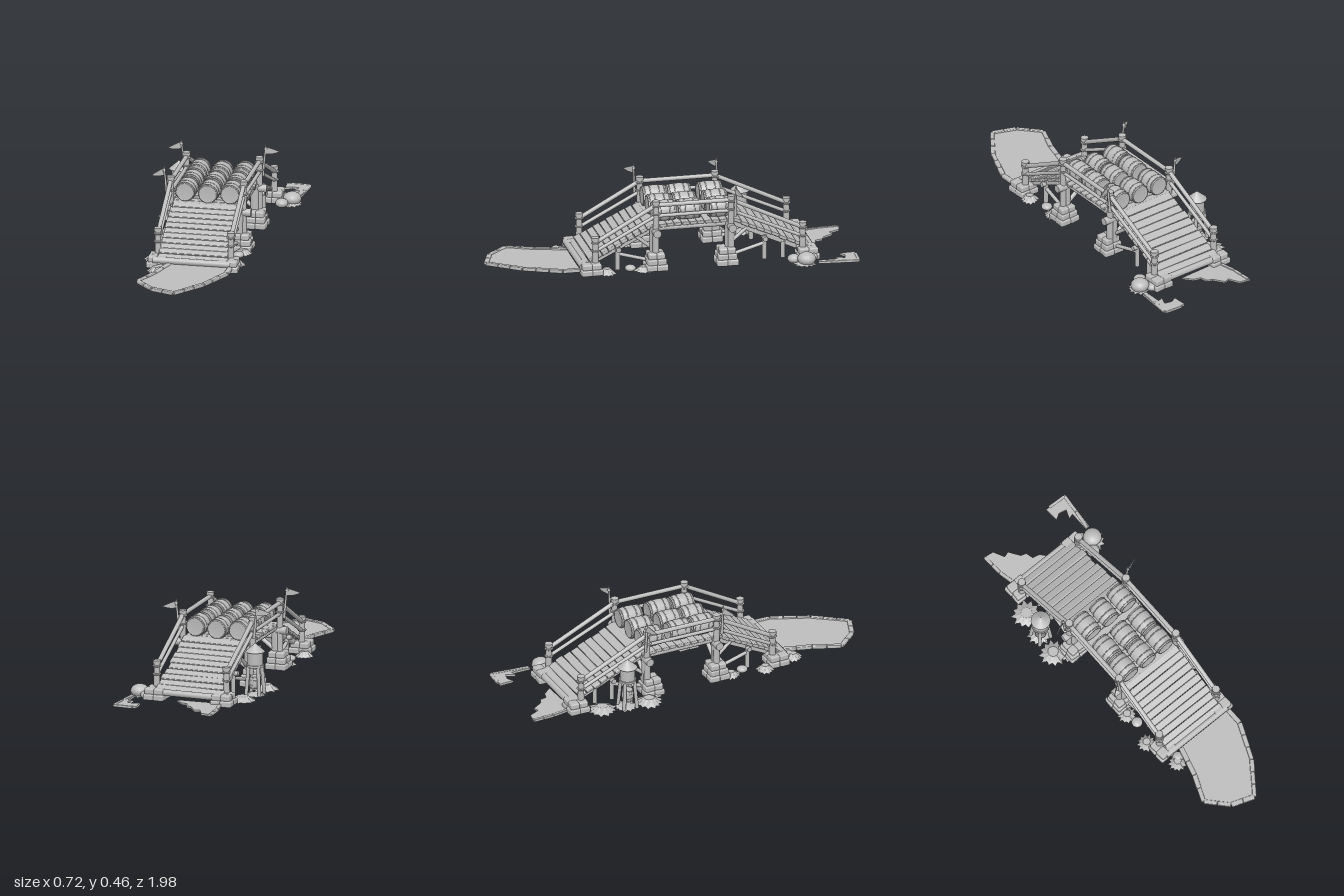
import * as THREE from 'three';
import { RoundedBoxGeometry } from 'three/addons/geometries/RoundedBoxGeometry.js';

const grey = new THREE.MeshStandardMaterial({ color: 0xbcbcbc });
grey.name = 'plain grey';

let seed = 7;
const rnd = (a = -1, b = 1) => {
  seed = (seed * 16807) % 2147483647;
  return a + (b - a) * seed / 2147483647;
};
const V = (x, y, z) => new THREE.Vector3(x, y, z);

export function createModel() {
  const model = new THREE.Group();
  model.name = 'woodenBridge';

  const add = (name, geo, x = 0, y = 0, z = 0, parent = model) => {
    const m = new THREE.Mesh(geo, grey);
    m.name = name;
    m.position.set(x, y, z);
    parent.add(m);
    return m;
  };
  const block = (name, w, h, d, x, y, z, parent) =>
    add(name, new RoundedBoxGeometry(w, h, d, 2, Math.min(w, h, d) * 0.25), x, y, z, parent);
  // round timber between two points
  const log = (name, a, b, r, r2 = r) => {
    const m = add(name, new THREE.CylinderGeometry(r2, r, a.distanceTo(b), 12));
    m.position.copy(a).lerp(b, 0.5);
    m.quaternion.setFromUnitVectors(V(0, 1, 0), b.clone().sub(a).normalize());
    return m;
  };
  // flat plate from a plan outline of [x, z] points
  const plate = (name, pts, y, h) => {
    const s = new THREE.Shape(pts.map(([x, z]) => new THREE.Vector2(x, -z)));
    const g = new THREE.ExtrudeGeometry(s, { depth: h, bevelEnabled: false });
    return add(name, g.rotateX(-Math.PI / 2), 0, y, 0);
  };
  // row of kerb stones along an outline
  const kerb = (pts, y, w, h) => {
    for (let i = 0; i < pts.length - 1; i++) {
      const [x0, z0] = pts[i], [x1, z1] = pts[i + 1];
      const len = Math.hypot(x1 - x0, z1 - z0), n = Math.max(1, Math.round(len / 0.075));
      for (let k = 0; k < n; k++) {
        const t = (k + 0.5) / n;
        const m = block('kerbStone', w * rnd(0.9, 1.1), h, len / n * 0.98,
          x0 + (x1 - x0) * t, y, z0 + (z1 - z0) * t);
        m.rotation.y = Math.atan2(x1 - x0, z1 - z0);
      }
    }
  };

  // plank decks, given as z, y at both ends of the top surface
  const deck = (name, z0, y0, z1, y1, n) => {
    const g = new THREE.Group();
    g.name = name;
    const len = Math.hypot(z1 - z0, y1 - y0);
    g.position.set(0, (y0 + y1) / 2, (z0 + z1) / 2);
    g.rotation.x = Math.atan2(y0 - y1, z1 - z0);
    model.add(g);
    for (let i = 0; i < n; i++) {
      const p = block('plank', 0.375 + rnd() * 0.008, 0.018, len / n * 0.95,
        rnd() * 0.003, -0.01 + rnd() * 0.002, ((i + 0.5) / n - 0.5) * len, g);
      p.rotation.y = rnd() * 0.008;
    }
    for (const x of [-0.15, 0, 0.15]) block('stringer', 0.03, 0.03, len, x, -0.034, 0, g);
  };
  deck('frontRamp', 0.115, 0.252, 0.5, 0.06, 11);
  deck('flatDeck', -0.335, 0.25, 0.12, 0.25, 11);
  deck('backRamp', -0.75, 0.06, -0.33, 0.252, 10);
  for (const z of [0.5, -0.755]) log('rampFootLog', V(-0.21, 0.047, z), V(0.21, 0.047, z), 0.018);
  for (const z of [0.1, -0.31]) log('crossBeam', V(-0.24, 0.21, z), V(0.24, 0.21, z), 0.022);

  // railings, piers and braces on both sides
  const stones = (x, z, layers) => {
    for (let l = 0; l < layers; l++) {
      const w = 0.115 - l * 0.014, h = 0.034;
      for (const sx of [-1, 1]) for (const sz of [-1, 1]) {
        const m = block('pierStone', w / 2 + rnd(0, 0.006), h, w / 2 + rnd(0, 0.006),
          x + sx * w / 4, 0.018 + l * 0.031, z + sz * w / 4);
        m.rotation.y = rnd() * 0.1;
      }
    }
  };
  const post = (x, z, y0, y1) => {
    log('railPost', V(x, y0, z), V(x, y1, z), 0.018, 0.016);
    log('postCap', V(x, y1 - 0.018, z), V(x, y1, z), 0.021);
    for (const y of [y1 - 0.03, y1 - 0.075]) {
      const ring = add('ropeBinding', new THREE.TorusGeometry(0.019, 0.005, 6, 14), x, y, z);
      ring.rotation.x = Math.PI / 2;
    }
  };
  const posts = [[0.43, 0.175, 0.125], [0.1, 0.36, 0.3], [-0.31, 0.36, 0.3], [-0.7, 0.175, 0.125]];
  for (const s of [-1, 1]) {
    const x = 0.198 * s;
    posts.forEach(([z, top, low], i) => {
      const tall = i === 1 || i === 2;
      post(x, z, 0.05, top + (tall ? 0.025 : 0.03));
      stones(0.19 * s, tall ? z + (i === 1 ? 0 : 0.025) : z + Math.sign(z) * 0.025, tall ? 3 : 2);
      if (tall) log('pierPost', V(0.175 * s, 0.08, z + 0.005), V(0.175 * s, 0.235, z + 0.005), 0.025);
      if (i < 3) {
        const [z2, top2, low2] = posts[i + 1];
        log('topRail', V(x, top, z), V(x, top2, z2), 0.012);
        log('lowRail', V(x, low, z), V(x, low2, z2), 0.01);
      }
    });
    // supports beneath the ramps
    for (const [z, pz, dir] of [[0.3, 0.1, 1], [-0.5, -0.3, -1]]) {
      log('rampSupport', V(0.16 * s, 0, z), V(0.16 * s, 0.135, z), 0.013);
      log('rampBrace', V(0.16 * s, 0.09, z), V(0.17 * s, 0.045, pz + 0.03 * dir), 0.01);
      log('deckBrace', V(0.17 * s, 0.1, pz), V(0.16 * s, 0.18, pz + 0.1 * dir), 0.01);
    }
    log('rampSupport', V(0.16 * s, 0, -0.6), V(0.16 * s, 0.09, -0.6), 0.012);
    log('sideBeam', V(0.17 * s, 0.222, 0.12), V(0.17 * s, 0.222, -0.33), 0.016);
  }
  for (const z of [0.1, -0.31])
    for (const s of [-1, 1]) log('crossBrace', V(0.17 * s, 0.1, z), V(0.02 * s, 0.21, z), 0.012);
  for (const z of [0.3, -0.5]) log('rampCrossBeam', V(-0.19, 0.118, z), V(0.19, 0.118, z), 0.014);

  // barrels lying lengthwise on the deck
  const barrelGeo = (r, len) => {
    const p = [[0, -0.47], [0.8, -0.47], [0.8, -0.5], [0.9, -0.5], [0.97, -0.25], [1, 0],
      [0.97, 0.25], [0.9, 0.5], [0.8, 0.5], [0.8, 0.47], [0, 0.47]];
    return new THREE.LatheGeometry(p.map(([a, b]) => new THREE.Vector2(a * r, b * len)), 24);
  };
  const barrel = (x, y, z, r, len, lying) => {
    const g = new THREE.Group();
    g.name = 'barrel';
    g.position.set(x, y, z);
    if (lying) g.rotation.x = Math.PI / 2;
    model.add(g);
    add('barrelBody', barrelGeo(r, len), 0, 0, 0, g);
    for (const t of [-0.43, -0.2, 0.2, 0.43]) {
      const hoop = add('barrelHoop', new THREE.TorusGeometry(r * (1.0 - Math.abs(t) * 0.18), r * 0.05, 6, 24), 0, t * len, 0, g);
      hoop.rotation.x = Math.PI / 2;
    }
  };
  for (const z of [-0.262, -0.092, 0.043])
    for (const x of [-0.12, 0.003, 0.124]) barrel(x, x > 0 && x < 0.1 ? 0.298 : 0.302, z, 0.056, 0.125, true);

  // flags on tall posts
  const flagShape = new THREE.Shape();
  flagShape.moveTo(0, 0.022);
  flagShape.quadraticCurveTo(0.035, 0.012, 0.075, -0.008);
  flagShape.quadraticCurveTo(0.035, -0.024, 0, -0.016);
  for (const [s, z, angle] of [[-1, 0.125, -2.5], [-1, -0.325, -2.7], [1, -0.33, 0.35]]) {
    log('flagPole', V(0.212 * s, 0.27, z), V(0.228 * s, 0.435, z), 0.008, 0.005);
    add('poleTip', new THREE.ConeGeometry(0.01, 0.03, 6), 0.228 * s, 0.437, z);
    const f = add('flag', new THREE.ExtrudeGeometry(flagShape, { depth: 0.004, bevelEnabled: false }), 0.228 * s, 0.414, z);
    f.rotation.y = angle;
  }

  // water tower
  const tx = -0.27, tz = -0.46;
  add('towerTank', new THREE.CylinderGeometry(0.041, 0.041, 0.075, 20), tx, 0.2, tz);
  add('towerRoof', new THREE.ConeGeometry(0.053, 0.047, 20), tx, 0.261, tz);
  add('towerFloor', new THREE.CylinderGeometry(0.047, 0.047, 0.012, 20), tx, 0.161, tz);
  for (const sx of [-1, 1]) for (const sz of [-1, 1])
    log('towerLeg', V(tx + 0.038 * sx, 0, tz + 0.038 * sz), V(tx + 0.027 * sx, 0.16, tz + 0.027 * sz), 0.01);
  barrel(tx, 0.07, tz, 0.032, 0.065, false);

  // front landing with a stone kerb
  const front = [[-0.12, 0.515], [0.21, 0.515], [0.21, 0.61], [0.125, 0.81], [0.0, 0.98],
    [-0.125, 0.935], [-0.225, 0.825], [-0.165, 0.68], [-0.12, 0.515]];
  plate('frontLanding', front.slice(0, -1), 0.022, 0.012);
  kerb(front.slice(1), 0.031, 0.025, 0.019);

  // broken back landing and its loose edge
  const back = [[-0.22, -0.99], [-0.16, -0.98], [-0.13, -0.92], [-0.1, -0.93], [-0.06, -0.87],
    [-0.03, -0.86], [-0.02, -0.82], [0.02, -0.81], [0.06, -0.76], [-0.19, -0.75], [-0.215, -0.87]];
  plate('backLanding', back, 0.005, 0.01);
  kerb([[-0.185, -0.76], [-0.208, -0.87], [-0.213, -0.985]], 0.011, 0.02, 0.016);
  plate('brokenEdge', [[0.21, -0.98], [0.34, -0.98], [0.335, -0.88], [0.325, -0.76], [0.3, -0.76],
    [0.3, -0.87], [0.27, -0.86], [0.29, -0.91], [0.25, -0.92], [0.215, -0.9]], 0.006, 0.012);
  kerb([[0.31, -0.76], [0.325, -0.87], [0.335, -0.975], [0.23, -0.98]], 0.012, 0.018, 0.016);

  // spiky grass tufts
  for (const [x, z, r, h] of [[-0.25, -0.6, 0.085, 0.025], [-0.285, -0.34, 0.08, 0.03], [-0.27, -0.47, 0.07, 0.012],
    [-0.235, 0.37, 0.055, 0.03], [0.215, 0.37, 0.055, 0.03], [-0.18, 0.56, 0.055, 0.03],
    [0.21, 0.17, 0.055, 0.025], [-0.21, 0.18, 0.055, 0.025], [0.29, -0.69, 0.07, 0.015],
    [-0.215, -0.28, 0.06, 0.02]]) {
    const n = 12;
    const g = new THREE.CylinderGeometry(r * 0.35, r, h, n * 2);
    const p = g.attributes.position;
    for (let i = 0; i < p.count; i++) {
      if (p.getY(i) > 0) continue;
      const k = Math.round(Math.atan2(p.getZ(i), p.getX(i)) * n / Math.PI + n * 2) % (n * 2);
      const f = k % 2 ? 0.7 : 0.95 + 0.08 * Math.sin(k * 2.3);
      p.setX(i, p.getX(i) * f);
      p.setZ(i, p.getZ(i) * f);
    }
    g.computeVertexNormals();
    add('grassTuft', g, x, h / 2 + 0.002, z);
  }

  // boulders
  for (const [x, y, z, r, sy] of [[0.295, 0.03, -0.7, 0.05, 0.72], [0.25, 0.02, -0.64, 0.035, 0.7],
    [0.245, 0.02, -0.74, 0.03, 0.7], [-0.16, 0.018, 0.54, 0.03, 0.6],
    [0.2, 0.018, 0.24, 0.03, 0.6], [-0.2, 0.018, 0.25, 0.03, 0.6]])
    add('boulder', new THREE.SphereGeometry(r, 14, 10), x, y, z).scale.y = sy;

  return model;
}
